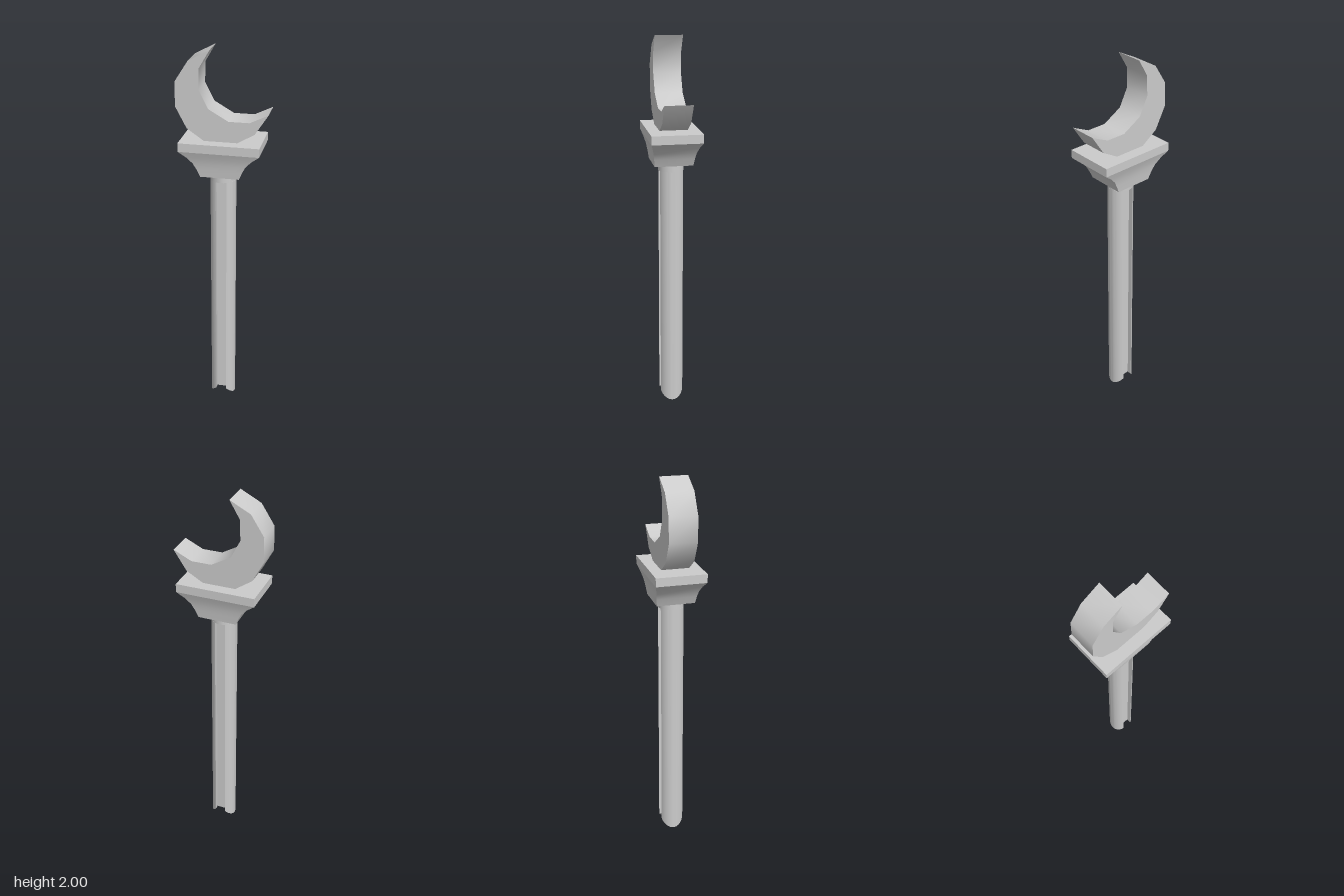
import * as THREE from 'three';
import { toCreasedNormals } from 'three/addons/utils/BufferGeometryUtils.js';

const AXIS_X = -0.005; // shaft and capital sit slightly off the centre line
const R = 0.067; // shaft radius
const GROOVE = 0.028; // half width of the front and back grooves
const GROOVE_TOP = 1.32;
const SHAFT_TOP = 1.36;

const material = new THREE.MeshStandardMaterial({ color: 0xcccccc });

function addPart(parent, name, geometry, x = 0, y = 0, z = 0) {
  const mesh = new THREE.Mesh(geometry, material);
  mesh.name = name;
  mesh.position.set(x, y, z);
  parent.add(mesh);
  return mesh;
}

// Rounded side of the shaft, its foot cut at a slant down to the outer edge
function shaftSideGeometry() {
  const a = Math.acos(GROOVE / R);
  const shape = new THREE.Shape();
  shape.absarc(0, 0, R, -a, a, false);
  shape.closePath();
  const geo = new THREE.ExtrudeGeometry(shape, { depth: GROOVE_TOP, bevelEnabled: false, curveSegments: 10 });
  geo.rotateX(-Math.PI / 2);
  const p = geo.attributes.position;
  for (let i = 0; i < p.count; i++) {
    if (p.getY(i) < 0.01) p.setY(i, 0.003 + (R - p.getX(i)) * 1.08);
  }
  return toCreasedNormals(geo, 0.6);
}

// Rectangular flare, concave from the narrow neck up to the slab
function flareGeometry() {
  const rows = [[1.36, 0.1], [1.4, 0.117], [1.433, 0.135], [1.465, 0.165], [1.497, 0.206]];
  const geo = new THREE.BoxGeometry(2, 4, 2, 1, 4, 1);
  const p = geo.attributes.position;
  for (let i = 0; i < p.count; i++) {
    const [y, halfX] = rows[Math.round(p.getY(i) + 2)];
    const halfZ = 0.1 + (halfX - 0.1) * 0.29;
    p.setXYZ(i, p.getX(i) * halfX, y, p.getZ(i) * halfZ);
  }
  geo.computeVertexNormals();
  return geo;
}

// Tilted crescent, open to the upper left-hand side
function crescentGeometry() {
  const outline = [
    [-0.058, 2.0], [-0.165, 1.945], [-0.232, 1.841], [-0.235, 1.714], [-0.177, 1.603],
    [-0.09, 1.543], [0.08, 1.543], [0.167, 1.593], [0.234, 1.696],
    [0.14, 1.651], [0.035, 1.651], [-0.066, 1.709], [-0.114, 1.804], [-0.111, 1.91],
  ];
  const shape = new THREE.Shape(outline.map(([x, y]) => new THREE.Vector2(x, y)));
  const geo = new THREE.ExtrudeGeometry(shape, { depth: 0.145, bevelEnabled: false });
  geo.translate(0, 0, -0.0725);
  return toCreasedNormals(geo, 0.8);
}

export function createModel() {
  const model = new THREE.Group();
  model.name = 'crescentKey';

  // Grooved shaft: two rounded sides joined by a thinner web
  const shaft = new THREE.Group();
  shaft.name = 'shaft';
  shaft.position.x = AXIS_X;
  model.add(shaft);
  const side = shaftSideGeometry();
  addPart(shaft, 'leftShaftSide', side);
  addPart(shaft, 'rightShaftSide', side).rotation.y = Math.PI;
  const webBottom = 0.045;
  const webHeight = GROOVE_TOP - webBottom;
  addPart(shaft, 'shaftWeb', new THREE.BoxGeometry(GROOVE * 2, webHeight, 0.07), 0, webBottom + webHeight / 2);
  const collarHeight = SHAFT_TOP - GROOVE_TOP;
  addPart(shaft, 'shaftCollar', new THREE.CylinderGeometry(R, R, collarHeight, 28), 0, GROOVE_TOP + collarHeight / 2);

  // Capital: flare and slab
  addPart(model, 'capitalFlare', flareGeometry(), AXIS_X);
  addPart(model, 'capitalSlab', new THREE.BoxGeometry(0.412, 0.045, 0.263), AXIS_X, 1.5195);

  // Crescent standing on the slab
  addPart(model, 'crescent', crescentGeometry());

  return model;
}
